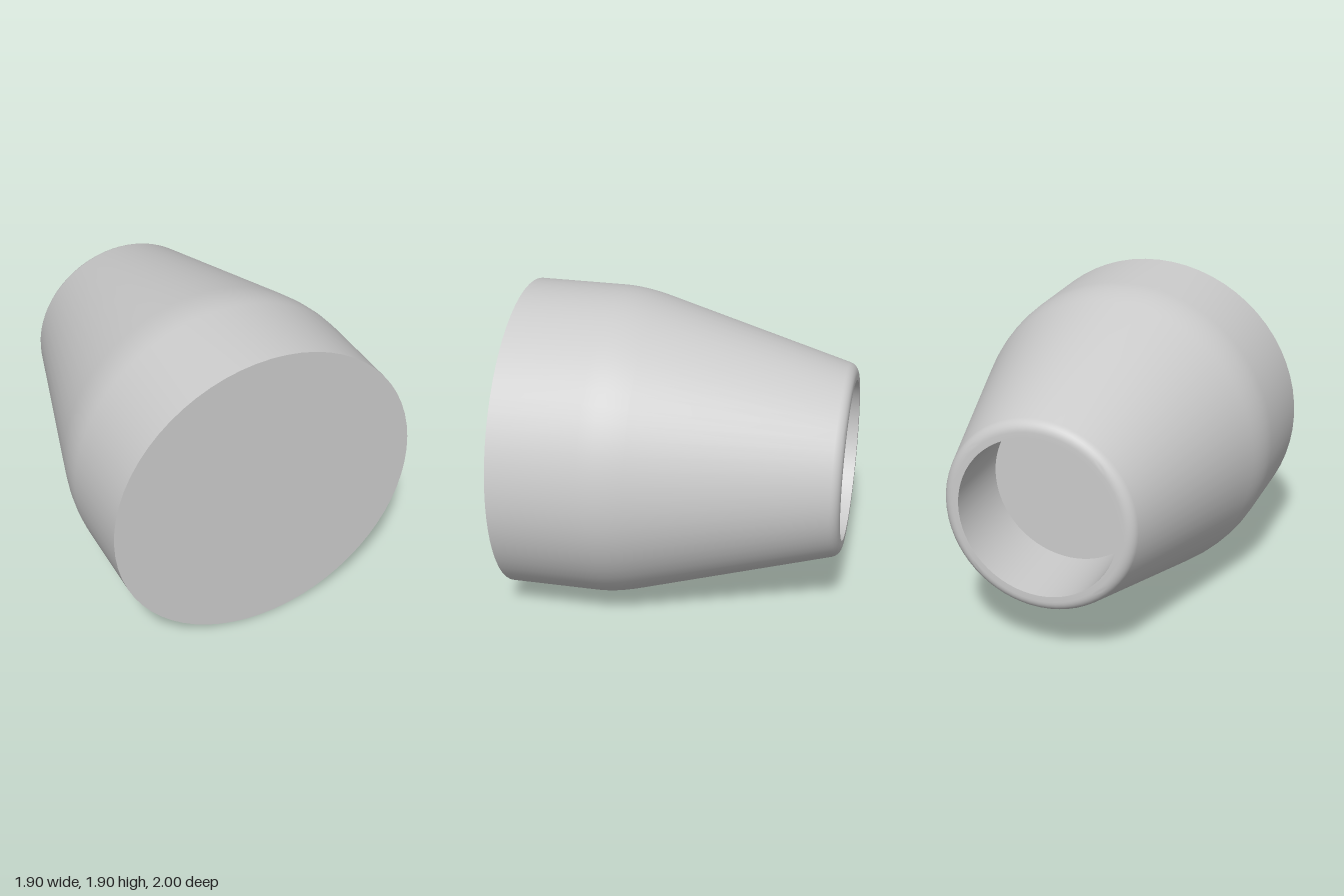
import * as THREE from 'three';
import { toCreasedNormals } from 'three/addons/utils/BufferGeometryUtils.js';

const SEGMENTS = 64;
const OUTER = 0.95;      // radius of the wide front end
const HOLE = 0.49;       // radius of the blind hole in the back
const HOLE_FLOOR = -0.5; // z of the bottom of the hole
const FILLET = 0.07;     // rounding of the back rim
const TAPER = THREE.MathUtils.degToRad(15.3);

export function createModel() {
  const group = new THREE.Group();
  group.name = 'taperedSleeve';
  const material = new THREE.MeshStandardMaterial({ color: 0xcccccc });

  const add = (name, geometry) => {
    const mesh = new THREE.Mesh(geometry, material);
    mesh.name = name;
    mesh.position.y = OUTER;
    group.add(mesh);
  };

  // Profile as (radius, distance towards the back)
  const profile = [new THREE.Vector2(OUTER, -1)];

  // Soft shoulder between the straight part and the taper
  const shoulder = new THREE.QuadraticBezierCurve(
    new THREE.Vector2(OUTER, -0.46),
    new THREE.Vector2(OUTER, -0.345),
    new THREE.Vector2(OUTER - 0.145 * Math.tan(TAPER), -0.2)
  );
  profile.push(...shoulder.getPoints(6));

  // Rounded back rim, starting tangent to the taper
  const rimRadius = 0.525;
  for (let i = 0; i <= 7; i++) {
    const a = THREE.MathUtils.lerp(TAPER, Math.PI / 2, i / 7);
    profile.push(new THREE.Vector2(
      rimRadius + FILLET * Math.cos(a),
      1 - FILLET + FILLET * Math.sin(a)
    ));
  }

  // Flat lip and hole wall
  profile.push(new THREE.Vector2(HOLE, 1), new THREE.Vector2(HOLE, -HOLE_FLOOR));

  const body = new THREE.LatheGeometry(profile, SEGMENTS).rotateX(-Math.PI / 2);
  add('body', toCreasedNormals(body, 0.6));

  // Closed front and the floor of the hole
  add('frontFace', new THREE.CircleGeometry(OUTER, SEGMENTS).translate(0, 0, 1));
  add('holeFloor', new THREE.CircleGeometry(HOLE, SEGMENTS)
    .rotateY(Math.PI).translate(0, 0, HOLE_FLOOR));

  return group;
}
